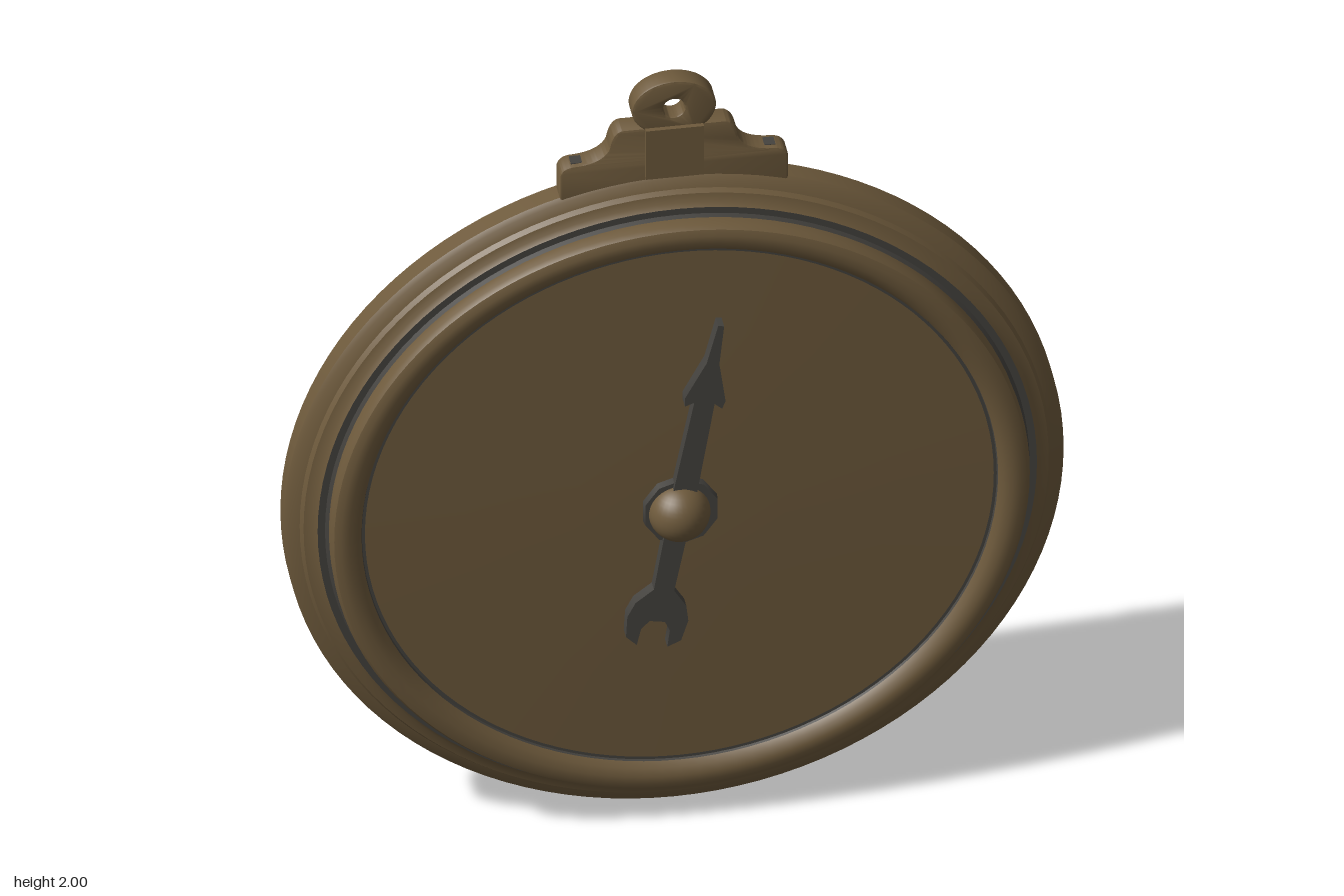
import * as THREE from 'three';
import { toCreasedNormals } from 'three/addons/utils/BufferGeometryUtils.js';

const bronze = new THREE.MeshStandardMaterial({ color: 0x6e5a3c });
bronze.name = 'aged bronze';
const iron = new THREE.MeshStandardMaterial({ color: 0x45433f });
iron.name = 'dark iron';

const CY = 0.87; // centre height of the case

export function createModel() {
  const group = new THREE.Group();
  const add = (name, geo, mat = bronze, x = 0, y = 0, z = 0) => {
    const mesh = new THREE.Mesh(geo, mat);
    mesh.name = name;
    mesh.position.set(x, y, z);
    group.add(mesh);
    return mesh;
  };

  // Profile of [radius, z] turned about the z axis, slightly flattened in height
  const turned = (profile, start = 0, length = Math.PI * 2, segments = 112) => {
    const geo = new THREE.LatheGeometry(profile.map(p => new THREE.Vector2(...p)), segments, start, length);
    geo.rotateX(Math.PI / 2).scale(1, 0.963, 1).translate(0, CY, 0);
    return toCreasedNormals(geo, 0.6);
  };
  const extrude = (shape, depth, bevel = 0) => toCreasedNormals(new THREE.ExtrudeGeometry(shape, {
    depth: depth - 2 * bevel, bevelEnabled: bevel > 0, bevelThickness: bevel,
    bevelSize: bevel, bevelOffset: -bevel, bevelSegments: 2, curveSegments: 24,
  }).translate(0, 0, bevel), 0.6);

  // Case: domed back, outer rim, stepped front
  add('caseBack', turned([
    [0, -0.155], [0.12, -0.153], [0.28, -0.145], [0.44, -0.131], [0.58, -0.116],
    [0.69, -0.105], [0.75, -0.101], [0.8, -0.1], [0.83, -0.094], [0.86, -0.08], [0.895, -0.073],
  ]));
  add('outerRim', turned([
    [0.895, -0.073], [0.905, -0.064], [0.905, -0.014], [0.895, -0.004],
    [0.872, 0.006], [0.865, 0.018], [0.845, 0.024], [0.835, 0.034],
  ]));
  add('rimGroove', turned([[0.835, 0.034], [0.818, 0.034], [0.81, 0.04]]), iron);
  add('bezel', turned([
    [0.81, 0.04], [0.812, 0.072], [0.805, 0.084], [0.79, 0.09],
    [0.77, 0.09], [0.75, 0.082], [0.739, 0.068],
  ]));
  add('bezelGroove', turned([[0.739, 0.068], [0.737, 0.062], [0.73, 0.062]]), iron);
  add('dial', turned([[0.73, 0.062], [0.5, 0.066], [0.25, 0.07], [0, 0.072]]));

  // Worn patch and small pins on the back
  const rad = Math.PI / 180;
  add('wornPatch', turned([[0.752, -0.103], [0.775, -0.1035], [0.79, -0.102]], 229 * rad, 10 * rad, 10), iron);
  add('backPin', new THREE.TorusGeometry(0.018, 0.004, 6, 20), bronze, 0.72, 0.53, -0.102);
  add('backDot', new THREE.SphereGeometry(0.01, 10, 8), iron, -0.41, 1.24, -0.117);

  // Crown mount with curved shoulders
  const crown = new THREE.Shape();
  crown.moveTo(-0.265, 1.66);
  crown.lineTo(-0.265, 1.765);
  crown.quadraticCurveTo(-0.26, 1.785, -0.235, 1.788);
  crown.quadraticCurveTo(-0.165, 1.79, -0.15, 1.83);
  crown.quadraticCurveTo(-0.143, 1.872, -0.12, 1.876);
  crown.lineTo(0.12, 1.876);
  crown.quadraticCurveTo(0.143, 1.872, 0.15, 1.83);
  crown.quadraticCurveTo(0.165, 1.79, 0.235, 1.788);
  crown.quadraticCurveTo(0.26, 1.785, 0.265, 1.765);
  crown.lineTo(0.265, 1.66);
  add('crownMount', extrude(crown, 0.056, 0.006), bronze, 0, 0, -0.065);
  add('crownBlock', new THREE.BoxGeometry(0.135, 0.135, 0.08), bronze, 0, 1.81, -0.036);
  for (const s of [-1, 1]) {
    add('shoulderMark', new THREE.BoxGeometry(0.035, 0.006, 0.03), iron, s * 0.22, 1.787, -0.037);
  }

  // Hanging loop
  const loop = new THREE.Shape();
  loop.absellipse(0, 1.925, 0.098, 0.075, 0, Math.PI * 2);
  const hole = new THREE.Path();
  hole.absarc(0, 1.925, 0.025, 0, Math.PI * 2, true);
  loop.holes.push(hole);
  add('hangingLoop', extrude(loop, 0.054, 0.006), bronze, 0, 0, -0.062);

  // Pointer: arrow at the top, forked tail below
  const half = [
    [0.007, 0.525], [0.015, 0.42], [0.048, 0.32], [0.044, 0.298], [0.024, 0.31], [0.028, 0.05],
    [0.024, -0.21], [0.06, -0.25], [0.072, -0.29], [0.065, -0.345], [0.036, -0.365], [0.034, -0.32],
    [0.018, -0.297],
  ];
  const outline = [...half, ...half.map(([x, y]) => [-x, y]).reverse()];
  const pointer = new THREE.Shape(outline.map(p => new THREE.Vector2(...p)));
  const hand = add('pointer', extrude(pointer, 0.04), iron, -0.004, CY - 0.005, 0.06);
  hand.rotation.z = -10.4 * rad;

  // Hub
  add('hubWasher', new THREE.CylinderGeometry(0.088, 0.092, 0.03, 10).rotateX(Math.PI / 2), iron, 0, CY - 0.005, 0.075);
  add('hubKnob', new THREE.SphereGeometry(0.072, 32, 20), bronze, -0.004, CY - 0.005, 0.083);

  return group;
}
